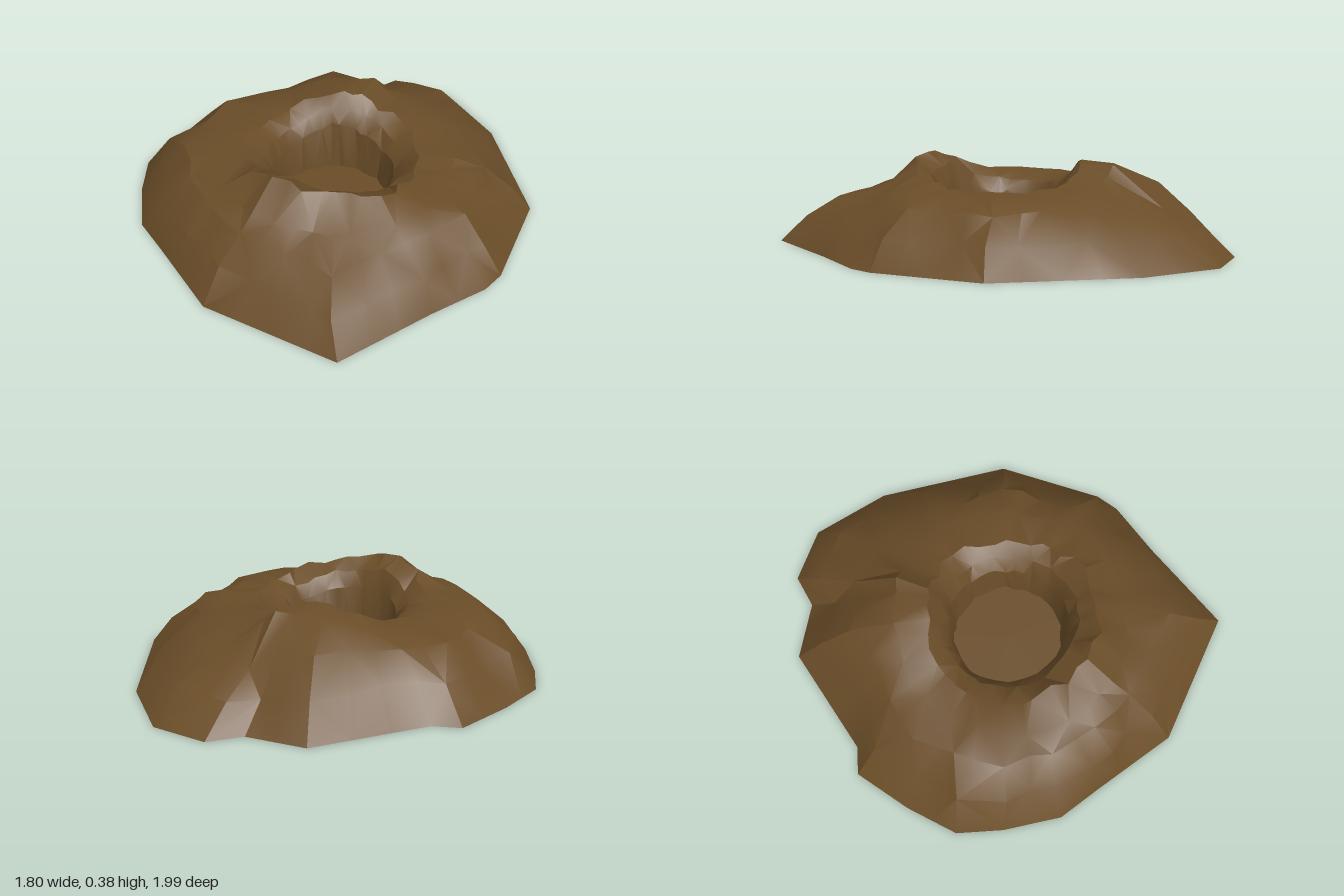
import * as THREE from 'three';
import { toCreasedNormals } from 'three/addons/utils/BufferGeometryUtils.js';

// Crater centre
const CX = 0.03, CZ = 0.035;

// Spokes around the mound: foot x, foot z, rim radius, then heights of rim, crest, shoulder, skirt
const SPOKES = [
  [0.15, -1.00, 0.36, 0.35, 0.355, 0.19, 0.11],
  [0.40, -0.96, 0.37, 0.31, 0.28, 0.19, 0.13],
  [0.65, -0.69, 0.38, 0.28, 0.26, 0.21, 0.12],
  [0.90, -0.14, 0.38, 0.26, 0.26, 0.22, 0.12],
  [0.83, 0.34, 0.39, 0.28, 0.26, 0.22, 0.12],
  [0.78, 0.44, 0.39, 0.29, 0.26, 0.22, 0.12],
  [0.59, 0.64, 0.39, 0.31, 0.25, 0.21, 0.12],
  [0.29, 0.99, 0.39, 0.35, 0.25, 0.20, 0.12],
  [-0.31, 0.83, 0.40, 0.39, 0.27, 0.23, 0.14],
  [-0.60, 0.55, 0.39, 0.32, 0.26, 0.24, 0.14],
  [-0.75, 0.41, 0.39, 0.28, 0.27, 0.25, 0.15],
  [-0.85, 0.17, 0.39, 0.28, 0.28, 0.26, 0.15],
  [-0.90, -0.03, 0.38, 0.27, 0.275, 0.26, 0.15],
  [-0.83, -0.26, 0.38, 0.26, 0.26, 0.25, 0.14],
  [-0.72, -0.51, 0.37, 0.28, 0.27, 0.25, 0.15],
  [-0.60, -0.54, 0.37, 0.29, 0.28, 0.25, 0.15],
  [-0.23, -0.90, 0.36, 0.365, 0.35, 0.26, 0.13],
  [0.03, -0.90, 0.36, 0.365, 0.355, 0.23, 0.11],
];

function seeded(seed) {
  return () => {
    seed = (seed * 16807) % 2147483647;
    return seed / 2147483647 - 0.5;
  };
}

const angleOf = ([x, z]) => Math.atan2(z - CZ, x - CX);

// One radial section from the crater floor over the rim to the foot
function section(spoke, step, rand) {
  const [fx, fz, rim, rimY, crestY, shoulderY, skirtY] = spoke;
  const R = Math.hypot(fx - CX, fz - CZ), angle = angleOf(spoke);
  const out = (f) => rim + (R - rim) * f;
  const slope = [
    [0.245, 0.02], [0.268, rimY * 0.65], [0.31, rimY * 0.86], [rim, rimY],
    [rim + 0.14, crestY], [out(0.53), shoulderY], [out(0.78), skirtY],
  ].map(([r, y], i) => {
    const a = angle + rand() * step * 0.6;
    const rr = r + rand() * (i < 3 ? 0.016 : 0.045);
    const lift = rand() * (i === 0 ? 0 : 0.02);
    return [CX + Math.cos(a) * rr, y + lift, CZ + Math.sin(a) * rr];
  });
  return [...slope, [fx, 0, fz]];
}

function surface(points, index, crease) {
  const g = new THREE.BufferGeometry();
  g.setAttribute('position', new THREE.Float32BufferAttribute(points.flat(), 3));
  g.setIndex(index);
  return toCreasedNormals(g, crease);
}

export function createModel() {
  const group = new THREE.Group();
  group.name = 'craterMound';
  const earth = new THREE.MeshStandardMaterial({ color: 0x6a4d28 });
  const rand = seeded(4711);

  // Wide gaps between spokes get more sections in between
  const sections = [];
  SPOKES.forEach((s, i) => {
    const next = SPOKES[(i + 1) % SPOKES.length];
    const gap = (angleOf(next) - angleOf(s) + 2 * Math.PI) % (2 * Math.PI);
    const parts = Math.max(1, Math.round(gap / 0.16));
    for (let k = 0; k < parts; k++) {
      const between = s.map((v, c) => v + ((next[c] - v) * k) / parts);
      sections.push(section(between, Math.min(gap / parts, 0.1), rand));
    }
  });
  const n = sections.length, m = sections[0].length;

  // Rough earth surface with the sunken crater
  const points = [[CX, 0.02, CZ], ...sections.flat()];
  const index = [];
  const at = (j, i) => 1 + (j % n) * m + i;
  for (let j = 0; j < n; j++) {
    index.push(0, at(j + 1, 0), at(j, 0));
    for (let i = 0; i < m - 1; i++) {
      const a = at(j, i), b = at(j, i + 1), c = at(j + 1, i + 1), d = at(j + 1, i);
      if ((i + j) % 2) index.push(a, c, b, a, d, c);
      else index.push(a, d, b, d, c, b);
    }
  }
  const mound = new THREE.Mesh(surface(points, index, 0.5), earth);
  mound.name = 'mound';
  group.add(mound);

  // Flat underside
  const feet = sections.map((s) => s[m - 1]);
  const fan = [];
  for (let j = 0; j < n; j++) fan.push(0, 1 + j, 1 + ((j + 1) % n));
  const base = new THREE.Mesh(surface([[CX, 0, CZ], ...feet], fan, 0.5), earth);
  base.name = 'underside';
  group.add(base);

  return group;
}
